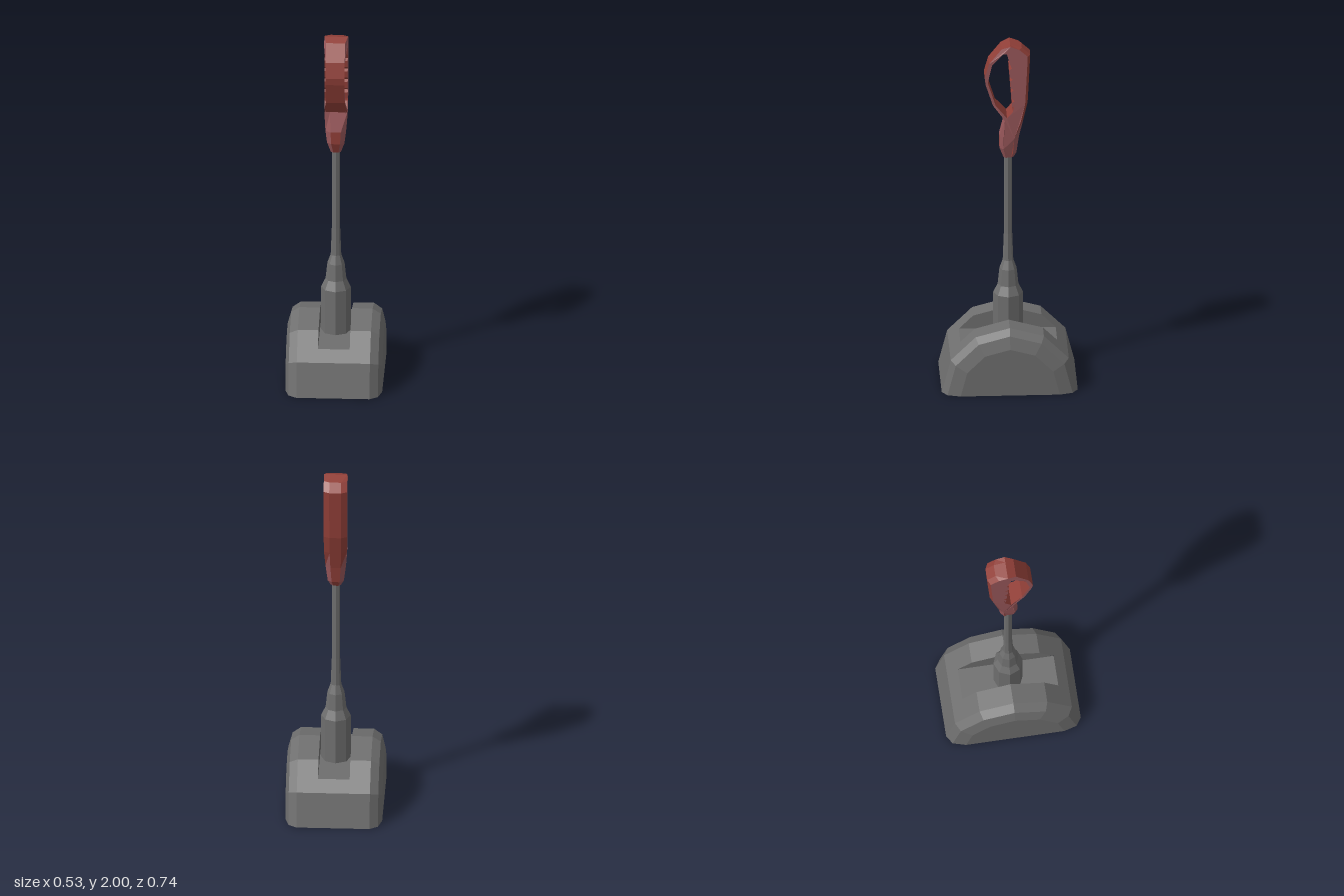
import * as THREE from 'three';

const steel = new THREE.MeshStandardMaterial({ name: 'grey metal', color: 0x6e6e6e, flatShading: true, side: THREE.DoubleSide });
const red = new THREE.MeshStandardMaterial({ name: 'red grip', color: 0x913f38, flatShading: true });
const rose = new THREE.MeshStandardMaterial({ name: 'rose grip sides', color: 0x98575a, flatShading: true });
steel.flatShading = red.flatShading = rose.flatShading = true;

// Skin over cross-sections; each section is a list of [x, y, z]
function loft(sections) {
  const n = sections[0].length, index = [];
  for (let i = 0; i < sections.length - 1; i++) {
    for (let j = 0; j < n - 1; j++) {
      const a = i * n + j, d = a + n;
      index.push(a, d, d + 1, a, d + 1, a + 1);
    }
  }
  const geo = new THREE.BufferGeometry();
  geo.setAttribute('position', new THREE.Float32BufferAttribute(sections.flat(2), 3));
  geo.setIndex(index);
  geo.computeVertexNormals();
  return geo;
}

function add(group, name, geo, mat) {
  const mesh = new THREE.Mesh(geo, mat);
  mesh.name = name;
  group.add(mesh);
  return mesh;
}

const section = (profile, x, s = 1) => profile.map(([z, y]) => [x, y * s, z * s]);

function lerpTable(table, v) {
  for (let i = 1; i < table.length; i++) {
    const [a, wa] = table[i - 1], [b, wb] = table[i];
    if (v <= b) return wa + (wb - wa) * Math.max(0, (v - a) / (b - a));
  }
  return table[table.length - 1][1];
}

// Hollow domed head with a slot across the crown
function makeHead() {
  const head = new THREE.Group();
  head.name = 'head';
  const dome = [[0.372, 0], [0.323, 0.19], [0.187, 0.324], [0, 0.375],
    [-0.187, 0.324], [-0.323, 0.19], [-0.372, 0]];
  const steps = [[0.265, 0], [0.265, 0.73], [0.245, 0.92], [0.2, 1], [0.087, 1]];
  add(head, 'rightShell', loft(steps.map(([x, s]) => section(dome, -x, s))), steel);
  add(head, 'leftShell', loft([...steps].reverse().map(([x, s]) => section(dome, x, s))), steel);

  const floor = [[0.372, 0], [0.323, 0.19], [0.265, 0.247],
    [-0.265, 0.247], [-0.323, 0.19], [-0.372, 0]];
  add(head, 'slotFloor', loft([section(floor, -0.087), section(floor, 0.087)]), steel);

  const wall = new THREE.Shape([[0.265, 0.247], [0.187, 0.324], [0, 0.375],
    [-0.187, 0.324], [-0.265, 0.247]].map(p => new THREE.Vector2(...p)));
  for (const x of [-0.087, 0.087]) {
    const geo = new THREE.ShapeGeometry(wall).rotateY(-Math.PI / 2).translate(x, 0, 0);
    add(head, 'slotWall', geo, steel);
  }
  return head;
}

// Looped grip with finger ridges, extruded across x and then reshaped
function makeGrip() {
  const v = pts => pts.map(p => new THREE.Vector2(...p));
  const shape = new THREE.Shape(v([
    [0.026, 1.32], [-0.03, 1.32], [-0.045, 1.35], [-0.058, 1.445], [-0.082, 1.55],
    [-0.106, 1.655], [-0.114, 1.81], [-0.12, 1.94], [-0.074, 1.982], [-0.01, 2],
    [0.037, 1.982], [0.106, 1.895], [0.13, 1.81], [0.125, 1.77], [0.085, 1.645],
    [0.02, 1.56], [0.048, 1.45], [0.048, 1.38]]));
  const hole = [[0.008, 1.572], [0.07, 1.645], [0.113, 1.78], [0.09, 1.885],
    [0.03, 1.957], [0.008, 1.955], [-0.003, 1.91]];
  // Finger ridges down the inside of the back bar
  for (let i = 0; i < 4; i++) {
    const y = 1.87 - i * 0.065, z = -0.004 - i * 0.005;
    hole.push([z - 0.014, y], [z, y - 0.012], [z - 0.002, y - 0.05]);
  }
  hole.push([-0.033, 1.655], [-0.024, 1.61]);
  shape.holes.push(new THREE.Path(v(hole)));

  const half = 0.064;
  const geo = new THREE.ExtrudeGeometry(shape, { depth: 2 * half, steps: 4, bevelEnabled: false, curveSegments: 1 });
  geo.translate(0, 0, -half).rotateY(-Math.PI / 2);

  const widths = [[1.32, 0.028], [1.35, 0.044], [1.5, 0.063], [2, 0.064]];
  const pos = geo.attributes.position;
  for (let i = 0; i < pos.count; i++) {
    const u = pos.getX(i) / half, y = pos.getY(i), z = pos.getZ(i);
    const w = z > 0.032 && y > 1.57 ? 0.052 : lerpTable(widths, y);
    pos.setX(i, u * w);
    if (Math.abs(u) > 0.9) {
      if (y < 1.5) pos.setZ(i, z * 0.55);
      else if (z < -0.05) pos.setZ(i, z + 0.015);
    }
  }
  geo.computeVertexNormals();

  // Sides and the ledge below the loop are rose, the bands are red
  geo.clearGroups();
  const normal = geo.attributes.normal;
  for (let i = 0; i < pos.count; i += 3) {
    const y = (pos.getY(i) + pos.getY(i + 1) + pos.getY(i + 2)) / 3;
    const ledge = normal.getZ(i) > 0.5 && y > 1.47 && y < 1.55;
    geo.addGroup(i, 3, Math.abs(normal.getX(i)) > 0.5 || ledge ? 1 : 0);
  }
  const grip = new THREE.Mesh(geo, [red, rose]);
  grip.name = 'grip';
  return grip;
}

export function createModel() {
  const model = new THREE.Group();
  model.name = 'longHandledTool';
  model.add(makeHead());

  // Eight-sided socket and shaft
  const outline = [[0, 0.04], [0.081, 0.04], [0.081, 0.505], [0.057, 0.555],
    [0.047, 0.65], [0.029, 0.7], [0.023, 0.86], [0.023, 1.34]].map(p => new THREE.Vector2(...p));
  add(model, 'shaft', new THREE.LatheGeometry(outline, 8), steel);

  model.add(makeGrip());
  return model;
}
